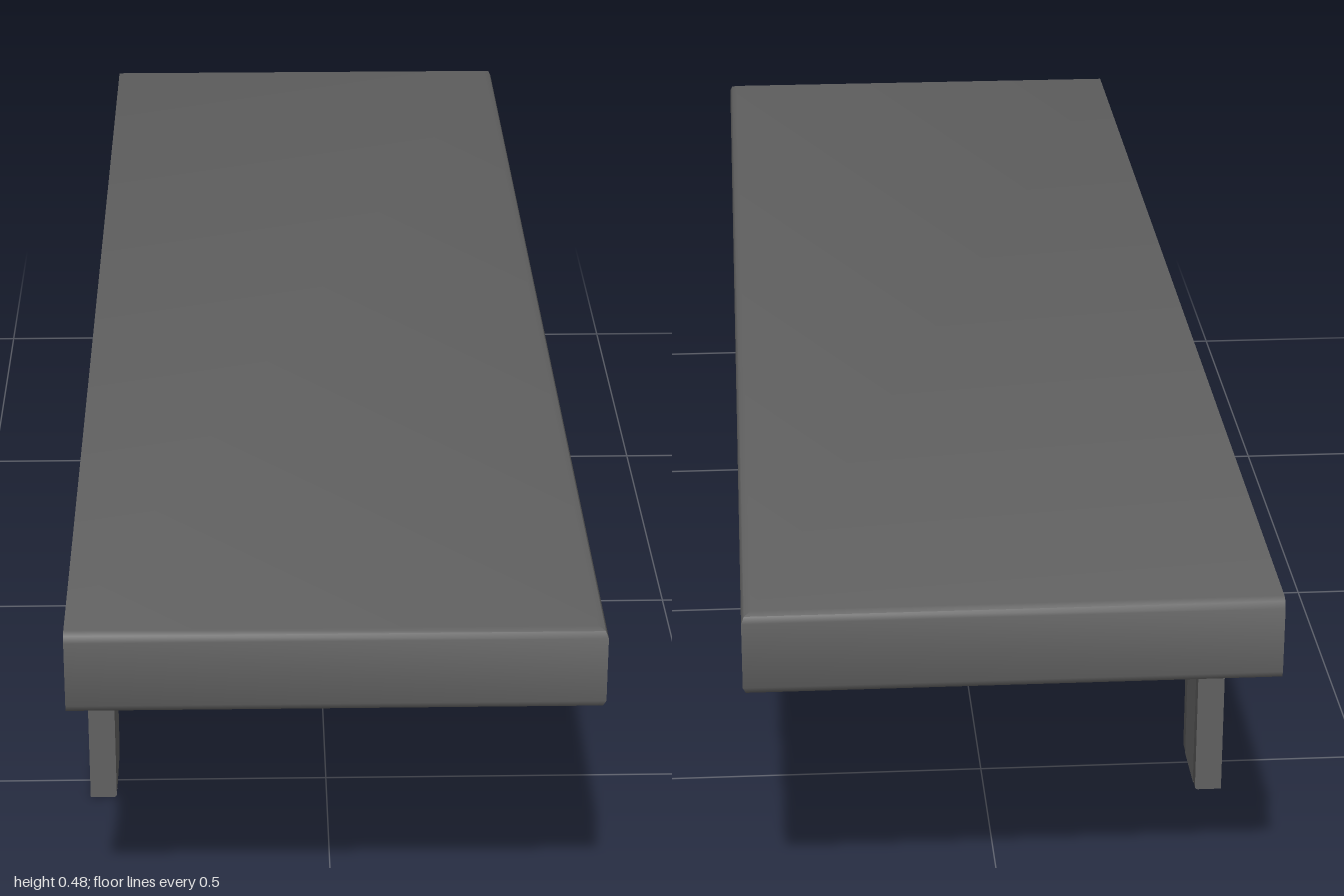
import * as THREE from 'three';
import { toCreasedNormals } from 'three/addons/utils/BufferGeometryUtils.js';

const BACK = -0.307, FRONT = 0.307, END = 1;
const BOTTOM = 0.376, TOP = 0.478, UNDER = 0.43; // lip bottom, board top, board underside
const LIP = 0.024, R = 0.011;

const metal = new THREE.MeshStandardMaterial({ color: 0x606060 });
const steel = new THREE.MeshStandardMaterial({ color: 0x999999 });

function mesh(name, geometry, material = metal) {
  const m = new THREE.Mesh(geometry, material);
  m.name = name;
  return m;
}

function box(name, x0, x1, y0, y1, z0, z1) {
  const g = new THREE.BoxGeometry(x1 - x0, y1 - y0, z1 - z0);
  g.translate((x0 + x1) / 2, (y0 + y1) / 2, (z0 + z1) / 2);
  return mesh(name, g);
}

// Board with a turned-down lip on the front and both ends, open at the wall side
function makeBoard() {
  const group = new THREE.Group();
  group.name = 'shelfBoard';

  // Lip section as [inset from the outer edge, height], from the top round to the underside
  const profile = [
    [R, TOP], [R * 0.3, TOP - R * 0.3], [0, TOP - R],
    [0, BOTTOM + R], [R * 0.3, BOTTOM + R * 0.3], [R, BOTTOM],
    [LIP - 0.005, BOTTOM], [LIP, BOTTOM + 0.005], [LIP, UNDER],
  ];
  const positions = [], index = [];
  for (const [d, y] of profile) {
    positions.push(BACK, y, END - d, FRONT - d, y, END - d, FRONT - d, y, d - END, BACK, y, d - END);
  }
  const quad = (a, b, c, d) => index.push(a, b, c, a, c, d);
  const last = (profile.length - 1) * 4;
  for (let j = 0; j < last; j += 4) {
    for (let i = 0; i < 3; i++) quad(j + i, j + 4 + i, j + 5 + i, j + 1 + i);
  }
  quad(0, 1, 2, 3); // top surface
  quad(last, last + 3, last + 2, last + 1); // underside
  const shell = new THREE.BufferGeometry();
  shell.setAttribute('position', new THREE.Float32BufferAttribute(positions, 3));
  shell.setIndex(index);
  group.add(mesh('boardShell', toCreasedNormals(shell, 0.9)));

  // Flat wall-side edge closing the section
  const outline = [
    ...profile.map(([d, y]) => new THREE.Vector2(END - d, y)),
    ...profile.slice().reverse().map(([d, y]) => new THREE.Vector2(d - END, y)),
  ];
  const edge = new THREE.ShapeGeometry(new THREE.Shape(outline));
  edge.rotateY(-Math.PI / 2).translate(BACK, 0, 0);
  group.add(mesh('boardBackEdge', edge));
  return group;
}

// Bracket of two gusseted side plates joined by a web, open behind and below the arm
function makeBracket() {
  const group = new THREE.Group();
  group.name = 'bracket';
  const half = 0.059, plate = 0.02, inner = half - plate;
  const legFront = -0.273, armEnd = 0.275;

  const s = new THREE.Shape();
  s.moveTo(BACK, 0);
  s.lineTo(legFront - 0.004, 0);
  s.quadraticCurveTo(legFront, 0, legFront, 0.004);
  s.lineTo(legFront, 0.218);
  s.quadraticCurveTo(legFront, 0.227, legFront + 0.009, 0.23);
  s.lineTo(armEnd, 0.393);
  s.lineTo(armEnd, UNDER);
  s.lineTo(BACK, UNDER);
  s.closePath();

  const plateGeometry = toCreasedNormals(
    new THREE.ExtrudeGeometry(s, { depth: plate, bevelEnabled: false, curveSegments: 4 }), 0.6);
  const screwGeometry = new THREE.SphereGeometry(0.014, 16, 8).scale(1, 1, 0.35);

  for (const side of [1, -1]) {
    const p = mesh('sidePlate', plateGeometry);
    p.position.z = side > 0 ? inner : -half;
    group.add(p);
    for (const x of [-0.27, 0.09]) {
      const screw = mesh('sideScrew', screwGeometry, steel);
      screw.position.set(x, 0.382, side * half);
      group.add(screw);
    }
  }
  group.add(box('legWeb', legFront - 0.015, legFront, 0.018, UNDER, -inner, inner));
  group.add(box('legFoot', BACK, legFront, 0, 0.018, -inner, inner));
  group.add(box('armTop', legFront, armEnd, UNDER - 0.012, UNDER, -inner, inner));

  // Wall screw set in the hollow of the leg
  const wallScrew = mesh('wallScrew', screwGeometry, steel);
  wallScrew.rotation.y = Math.PI / 2;
  wallScrew.position.set(legFront - 0.015, 0.28, 0);
  group.add(wallScrew);
  return group;
}

export function createModel() {
  const model = new THREE.Group();
  model.name = 'wallShelf';
  model.add(makeBoard());
  for (const z of [0.485, -0.515]) {
    const bracket = makeBracket();
    bracket.position.z = z;
    model.add(bracket);
  }
  return model;
}
